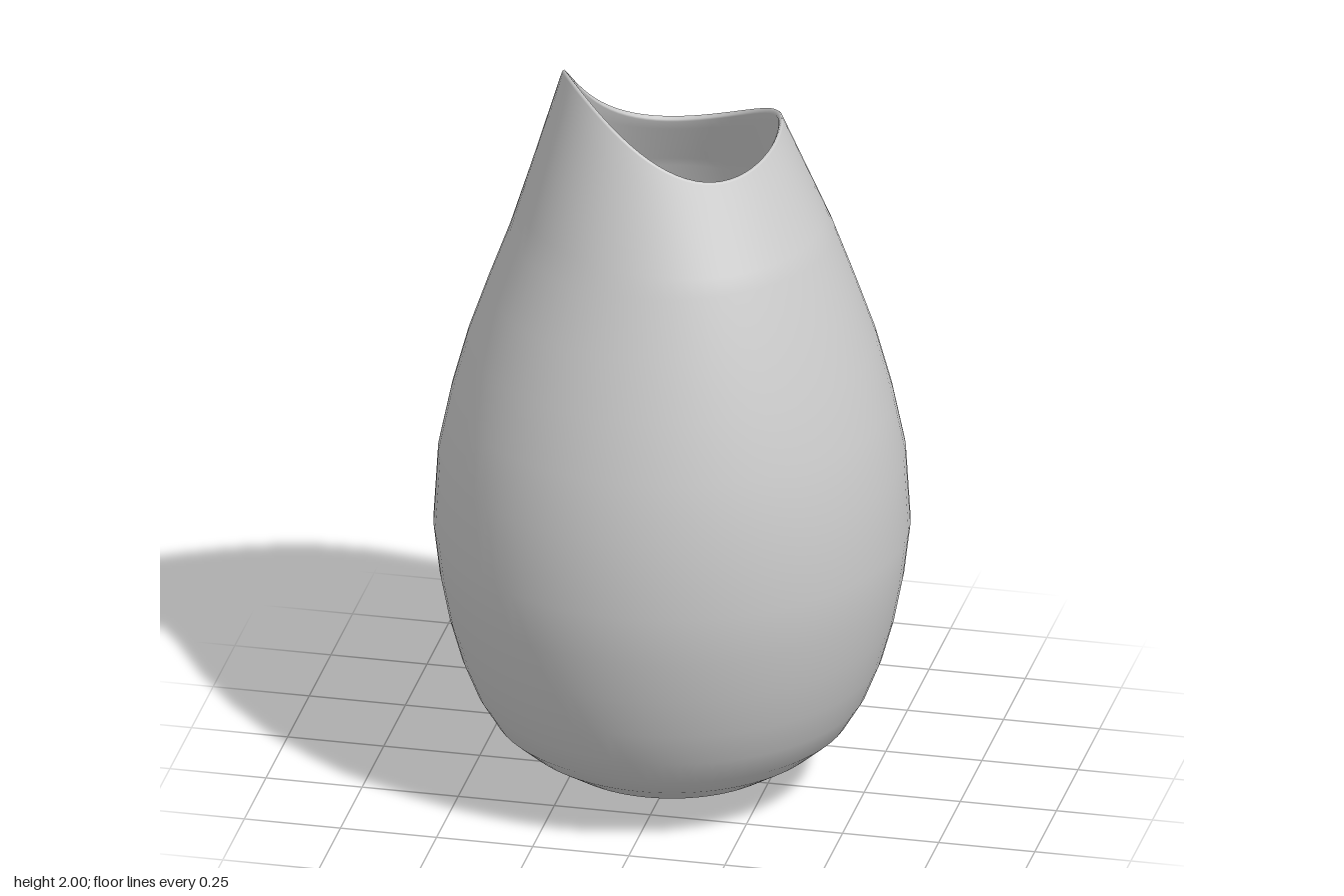
import * as THREE from 'three';

const SEGMENTS = 72;
const WALL = 0.014;

// Lower body rings [radius, height], from the rounded base to the shoulder
const BODY = [
  [0, 0], [0.1, 0.007], [0.2, 0.03], [0.3, 0.072], [0.39, 0.13], [0.455, 0.187],
  [0.5, 0.262], [0.537, 0.355], [0.568, 0.466], [0.59, 0.58], [0.606, 0.715],
  [0.594, 0.915], [0.562, 1.07], [0.52, 1.225], [0.468, 1.375], [0.413, 1.525],
];
const NECK_STEPS = 6;

// Wavy mouth: height and radius by angle (0 = +x, 90 degrees = +z)
const rimHeight = (a) =>
  1.828 - 0.06 * Math.cos(a) + 0.075 * Math.sin(a) + 0.0525 * Math.cos(2 * a) - 0.06 * Math.sin(2 * a);
const rimRadius = (a) => 0.28 + 0.05 * Math.max(0, -Math.sin(a)) ** 2;

// Outer profile at one angle, base to rim
function outerProfile(a) {
  const [r0, y0] = BODY[BODY.length - 1];
  const points = BODY.map(([r, y]) => new THREE.Vector2(r, y));
  for (let i = 1; i <= NECK_STEPS; i++) {
    const t = i / NECK_STEPS;
    points.push(new THREE.Vector2(
      THREE.MathUtils.lerp(r0, rimRadius(a), t),
      THREE.MathUtils.lerp(y0, rimHeight(a) - WALL / 2, t),
    ));
  }
  return points;
}

// Full wall section: outside, rounded lip, inside back down to the base
function wallProfile(a) {
  const outer = outerProfile(a);
  const inner = outer.map((p, i) => {
    if (i === 0) return new THREE.Vector2(0, WALL);
    const next = outer[Math.min(i + 1, outer.length - 1)];
    const tangent = next.clone().sub(outer[i - 1]).normalize();
    return new THREE.Vector2(p.x - tangent.y * WALL, p.y + tangent.x * WALL);
  });
  const from = outer[outer.length - 1];
  const to = inner[inner.length - 1];
  const lip = [0.15, 0.5, 0.85].map((t) =>
    from.clone().lerp(to, t).add(new THREE.Vector2(0, Math.sin(t * Math.PI) * WALL * 0.7)));
  return [...outer, ...lip, ...inner.reverse()];
}

function vaseGeometry() {
  const positions = [];
  const indices = [];
  let rows = 0;
  for (let s = 0; s < SEGMENTS; s++) {
    const a = (s / SEGMENTS) * Math.PI * 2;
    const profile = wallProfile(a);
    rows = profile.length;
    for (const p of profile) positions.push(p.x * Math.cos(a), p.y, p.x * Math.sin(a));
  }
  for (let s = 0; s < SEGMENTS; s++) {
    const c = s * rows;
    const n = ((s + 1) % SEGMENTS) * rows;
    for (let i = 0; i < rows - 1; i++) {
      // Skip the collapsed triangles at the two poles
      if (i < rows - 2) indices.push(c + i, c + i + 1, n + i + 1);
      else indices.push(c + i, c + i + 1, n + i);
      if (i > 0 && i < rows - 2) indices.push(c + i, n + i + 1, n + i);
    }
  }
  const geometry = new THREE.BufferGeometry();
  geometry.setAttribute('position', new THREE.Float32BufferAttribute(positions, 3));
  geometry.setIndex(indices);
  geometry.computeVertexNormals();

  // Poles share one straight normal: down outside, up inside
  const normal = geometry.attributes.normal;
  for (let s = 0; s < SEGMENTS; s++) {
    normal.setXYZ(s * rows, 0, -1, 0);
    normal.setXYZ(s * rows + rows - 1, 0, 1, 0);
  }
  return geometry;
}

export function createModel() {
  const group = new THREE.Group();
  group.name = 'vase';
  const material = new THREE.MeshStandardMaterial({ color: 0xcccccc, side: THREE.DoubleSide });
  const shell = new THREE.Mesh(vaseGeometry(), material);
  shell.name = 'vaseShell';
  group.add(shell);
  return group;
}
